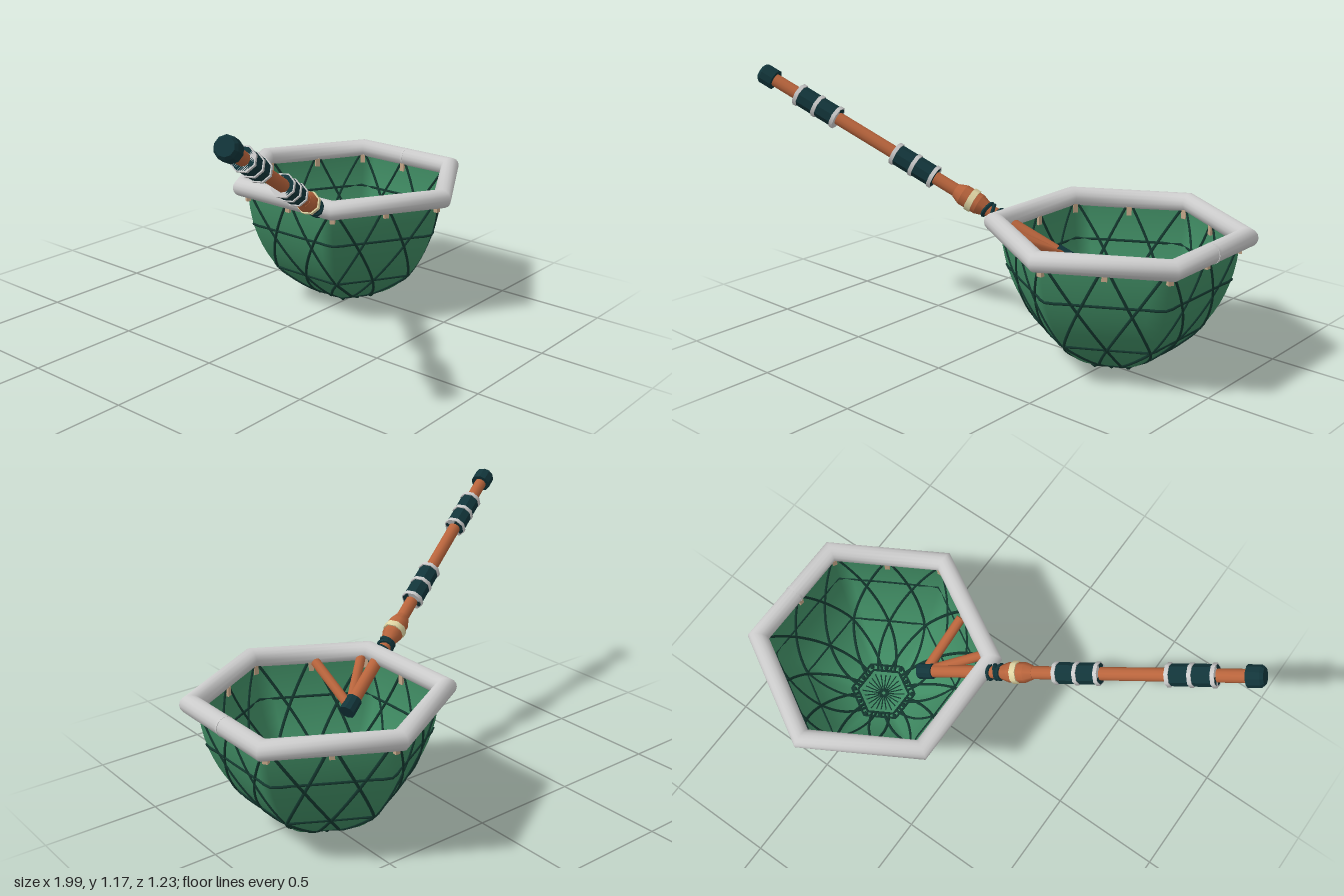
import * as THREE from 'three';
import { ParametricGeometry } from 'three/addons/geometries/ParametricGeometry.js';

const mat = (color, extra = {}) => new THREE.MeshStandardMaterial({ color, ...extra });
const DEG = Math.PI / 180;
const NET_X = 0.5, NET_Z = -0.055, RIM_Y = 0.582;

// Point on the hexagonal bowl: around = angle, down = 0 at the rim to 90 degrees at the bottom
function bowlPoint(around, down, target = new THREE.Vector3()) {
  const a = around / DEG;
  const fromFlat = ((((a + 30) % 60) + 60) % 60 - 30) * DEG;
  const hex = Math.cos(30 * DEG) / Math.cos(fromFlat);
  const r = 0.492 * Math.cos(down) * THREE.MathUtils.lerp(1, hex, 0.94);
  return target.set(r * Math.cos(around), 0.58 - 0.573 * Math.sin(down), r * Math.sin(around));
}

// Point on the handle axis for a given x
const axisPoint = (x) => new THREE.Vector3(x, 0.6 - 0.555 * x, 0.155 - 0.43 * x);

function rod(parent, name, from, to, r0, r1, material, sides = 8) {
  const dir = to.clone().sub(from);
  const mesh = new THREE.Mesh(new THREE.CylinderGeometry(r1, r0, dir.length(), sides), material);
  mesh.position.copy(from).add(to).multiplyScalar(0.5);
  mesh.quaternion.setFromUnitVectors(new THREE.Vector3(0, 1, 0), dir.normalize());
  mesh.name = name;
  parent.add(mesh);
  return mesh;
}

export function createModel() {
  const model = new THREE.Group();
  model.name = 'handNet';
  const grey = mat(0xcccccc);
  const green = mat(0x3f8a62, { side: THREE.DoubleSide });
  const cordMat = mat(0x14382f);
  const dark = mat(0x12353a, { flatShading: true });
  const wood = mat(0xb8643c);
  const tan = mat(0xc4a688);
  const cream = mat(0xe0d6a4);

  const net = new THREE.Group();
  net.name = 'net';
  net.position.set(NET_X, 0, NET_Z);
  model.add(net);

  // Hexagonal rim with corners toward the front and back
  const rimGeo = new THREE.TorusGeometry(0.518, 0.047, 16, 6);
  rimGeo.rotateX(Math.PI / 2).rotateY(Math.PI / 6).scale(1, 0.9, 1);
  const rim = new THREE.Mesh(rimGeo, grey);
  rim.name = 'rim';
  rim.position.y = RIM_Y;
  net.add(rim);

  // Joint in the rim
  const joint = new THREE.Mesh(new THREE.CylinderGeometry(0.043, 0.043, 0.012, 16), grey);
  joint.name = 'rimJoint';
  joint.rotation.x = Math.PI / 2;
  joint.position.set(0.449, RIM_Y, 0);
  net.add(joint);

  // Bowl of cloth
  const bowl = new THREE.Mesh(new ParametricGeometry(
    (u, v, p) => bowlPoint(u * Math.PI * 2, v * 89.9 * DEG, p), 48, 18), green);
  bowl.name = 'bowl';
  net.add(bowl);

  const cord = (name, pointAt, steps, radius, closed = false) => {
    const points = [];
    for (let i = 0; i < steps + (closed ? 0 : 1); i++) points.push(pointAt(i / steps));
    const curve = new THREE.CatmullRomCurve3(points, closed);
    const mesh = new THREE.Mesh(new THREE.TubeGeometry(curve, steps * 2, radius, 5, closed), cordMat);
    mesh.name = name;
    net.add(mesh);
  };

  // Crossing diagonal cords
  for (let i = 0; i < 12; i++) {
    for (const turn of [-1, 1]) {
      cord('diagonalCord', (t) => bowlPoint((i * 30 + turn * t * 50) * DEG, t * 75 * DEG), 16, 0.007);
    }
  }
  // Level cords
  for (const down of [18.3, 44.3, 72, 75.5]) {
    cord('ringCord', (t) => bowlPoint(t * Math.PI * 2, down * DEG), 36, 0.006, true);
  }
  // Spokes at the bottom
  for (let i = 0; i < 24; i++) {
    cord('bottomSpoke', (t) => bowlPoint(i * 15 * DEG, (78 + t * 11) * DEG), 3, 0.003);
  }

  const knotGeo = new THREE.SphereGeometry(0.012, 8, 6);
  const clipGeo = new THREE.BoxGeometry(0.024, 0.04, 0.022);
  for (let i = 0; i < 12; i++) {
    // Knots around the bottom
    const knot = new THREE.Mesh(knotGeo, cordMat);
    knot.name = 'knot';
    bowlPoint(i * 30 * DEG, 73.5 * DEG, knot.position);
    net.add(knot);
    // Clips under the rim
    const clip = new THREE.Mesh(clipGeo, tan);
    clip.name = 'rimClip';
    bowlPoint(i * 30 * DEG, 4.5 * DEG, clip.position);
    clip.rotation.y = -i * 30 * DEG;
    net.add(clip);
  }

  const handle = new THREE.Group();
  handle.name = 'handle';
  model.add(handle);
  const part = (name, x0, x1, r, material, sides, r1 = r) =>
    rod(handle, name, axisPoint(x0), axisPoint(x1), r, r1, material, sides);

  // Shaft with capped ends
  part('shaft', -0.96, 0.29, 0.028, wood, 12);
  part('endCap', -0.966, -0.92, 0.046, dark, 10);
  part('endCapTip', -0.977, -0.966, 0.036, dark, 10, 0.046);
  part('innerCap', 0.255, 0.315, 0.036, dark, 10);

  // Grips, each with three pale bands
  for (const x of [-0.82, -0.41]) {
    part('grip', x, x + 0.17, 0.046, dark, 8);
    for (const offset of [0, 0.078, 0.156]) {
      part('gripBand', x + offset, x + offset + 0.014, 0.051, grey, 8);
    }
  }

  // Collar beside the rim
  part('collarTaper', -0.155, -0.125, 0.03, wood, 8, 0.045);
  part('collar', -0.125, -0.06, 0.045, wood, 8);
  part('collarBand', -0.098, -0.076, 0.051, cream, 8);
  part('collarNeck', -0.06, -0.03, 0.045, wood, 8, 0.032);

  // Lashing wound around the shaft
  const axis = axisPoint(1).sub(axisPoint(0)).normalize();
  for (let i = 0; i < 4; i++) {
    const loop = new THREE.Mesh(new THREE.TorusGeometry(0.031, 0.009, 6, 14), dark);
    loop.name = 'lashing';
    loop.position.copy(axisPoint(-0.025 + i * 0.02));
    loop.quaternion.setFromUnitVectors(new THREE.Vector3(0, 0, 1), axis);
    loop.rotateY(i % 2 ? 0.3 : -0.2);
    handle.add(loop);
  }

  // Braces from the inner cap up to the rim
  const hub = axisPoint(0.29);
  for (const [x, z] of [[0.28, 0.29], [0.1, 0.2]]) {
    rod(handle, 'brace', hub, new THREE.Vector3(x, 0.56, z), 0.022, 0.022, wood, 10);
  }
  return model;
}
